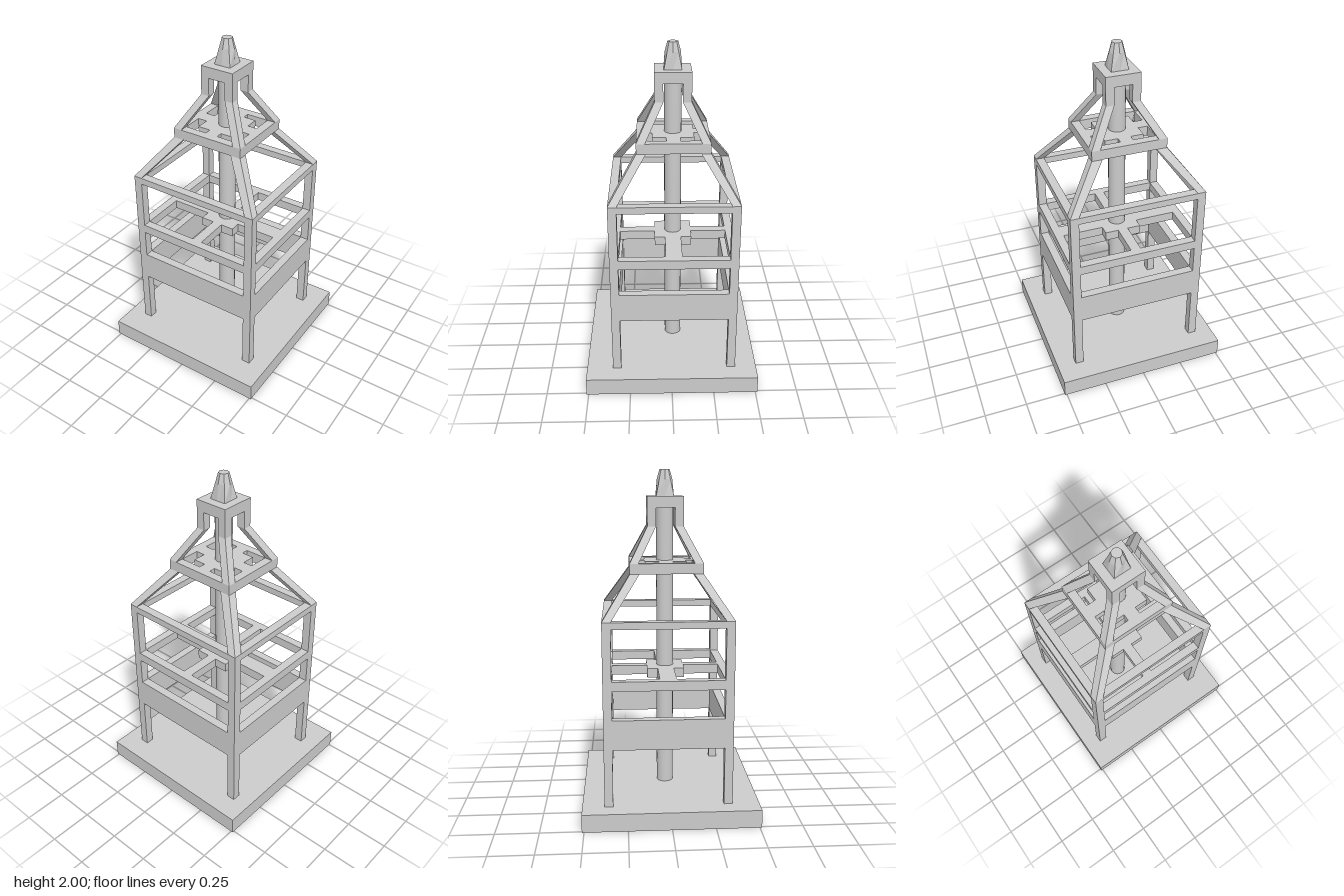
import * as THREE from 'three';

const material = new THREE.MeshStandardMaterial({ color: 0xcccccc, flatShading: true });
const smooth = new THREE.MeshStandardMaterial({ color: 0xcccccc });

function part(name, geometry, mat = material) {
  const mesh = new THREE.Mesh(geometry, mat);
  mesh.name = name;
  return mesh;
}

function box(name, w, d, y0, y1) {
  const mesh = part(name, new THREE.BoxGeometry(w, y1 - y0, d));
  mesh.position.y = (y0 + y1) / 2;
  return mesh;
}

// Closed solid through equal-sized rings of [x, y, z], counter-clockwise from above
function loft(rings) {
  const n = rings[0].length, pos = rings.flat(2), idx = [];
  for (let r = 0; r < rings.length - 1; r++) {
    for (let i = 0; i < n; i++) {
      const a = r * n + i, b = r * n + (i + 1) % n;
      idx.push(a, b, b + n, a, b + n, a + n);
    }
  }
  const top = (rings.length - 1) * n;
  for (let i = 1; i < n - 1; i++) idx.push(0, i + 1, i, top, top + i, top + i + 1);
  const geo = new THREE.BufferGeometry();
  geo.setAttribute('position', new THREE.Float32BufferAttribute(pos, 3));
  geo.setIndex(idx);
  const flat = geo.toNonIndexed();
  flat.computeVertexNormals();
  return flat;
}

// Horizontal plate from a rectangular outline (half sizes) with holes cut through
function plate(name, hx, hz, holes, y0, y1) {
  const rect = [[-hx, -hz], [hx, -hz], [hx, hz], [-hx, hz]];
  const toPoints = (list) => list.map(([x, z]) => new THREE.Vector2(x, z));
  const shape = new THREE.Shape(toPoints(rect));
  for (const h of holes) shape.holes.push(new THREE.Path(toPoints(h)));
  const geo = new THREE.ExtrudeGeometry(shape, { depth: y1 - y0, bevelEnabled: false });
  geo.rotateX(-Math.PI / 2);
  geo.translate(0, y0, 0);
  return part(name, geo);
}

const rectHole = (x, z) => [[-x, -z], [-x, z], [x, z], [x, -z]];

// Four L-shaped openings leaving a cross of beams and a central block
function crossHoles(ox, oz, beamX, beamZ, blockX, blockZ) {
  const holes = [];
  for (const sx of [-1, 1]) {
    for (const sz of [-1, 1]) {
      holes.push([
        [ox, oz], [beamX, oz], [beamX, blockZ], [blockX, blockZ], [blockX, beamZ], [ox, beamZ],
      ].map(([x, z]) => [x * sx, z * sz]));
    }
  }
  return holes;
}

export function createModel() {
  const model = new THREE.Group();
  model.name = 'tower';
  model.add(box('base', 1.024, 1.024, 0, 0.105));

  // Tower sits slightly off the centre of its base
  const tower = new THREE.Group();
  tower.name = 'towerFrame';
  tower.position.set(-0.005, 0, -0.0145);
  model.add(tower);

  // Corner legs: upright, bent in to the upper deck, bent in again to the cap
  // [y, outer x, outer z, width x, width z]
  const profile = [
    [0.105, 0.405, 0.37, 0.05, 0.05],
    [1.18, 0.405, 0.37, 0.05, 0.05],
    [1.42, 0.2225, 0.21, 0.062, 0.055],
    [1.48, 0.2225, 0.21, 0.05, 0.05],
    [1.68, 0.1025, 0.105, 0.05, 0.05],
    [1.79, 0.1025, 0.105, 0.05, 0.05],
  ];
  for (const sx of [-1, 1]) {
    for (const sz of [-1, 1]) {
      const rings = profile.map(([y, x, z, wx, wz]) => {
        const ring = [[x, z], [x, z - wz], [x - wx, z - wz], [x - wx, z]]
          .map(([px, pz]) => [px * sx, y, pz * sz]);
        return sx * sz > 0 ? ring : ring.reverse();
      });
      tower.add(part('cornerLeg', loft(rings)));
    }
  }

  // Rails and decks
  tower.add(plate('lowerBand', 0.405, 0.37, [rectHole(0.355, 0.32)], 0.445, 0.62));
  tower.add(plate('middleDeck', 0.405, 0.37,
    crossHoles(0.355, 0.32, 0.03, 0.048, 0.11, 0.11), 0.79, 0.845));
  tower.add(plate('topRail', 0.405, 0.37, [rectHole(0.355, 0.32)], 1.14, 1.18));
  tower.add(plate('upperDeck', 0.2225, 0.21,
    crossHoles(0.172, 0.16, 0.0375, 0.04, 0.115, 0.12), 1.42, 1.48));
  tower.add(box('cap', 0.205, 0.21, 1.785, 1.85));

  // Central pole
  const pole = part('pole', new THREE.CylinderGeometry(0.05, 0.05, 1.685, 20), smooth);
  pole.position.y = 0.105 + 1.685 / 2;
  tower.add(pole);

  // Tip: square foot blending into an eight-sided point
  const tipRing = (y, r, square) => Array.from({ length: 8 }, (_, i) => {
    const a = -i * Math.PI / 4;
    const k = square && i % 2 ? r * Math.SQRT2 : r;
    return [k * Math.cos(a), y, k * Math.sin(a)];
  });
  tower.add(part('tip', loft([
    tipRing(1.85, 0.051, true), tipRing(1.945, 0.045, false), tipRing(2, 0.03, false),
  ])));

  return model;
}
